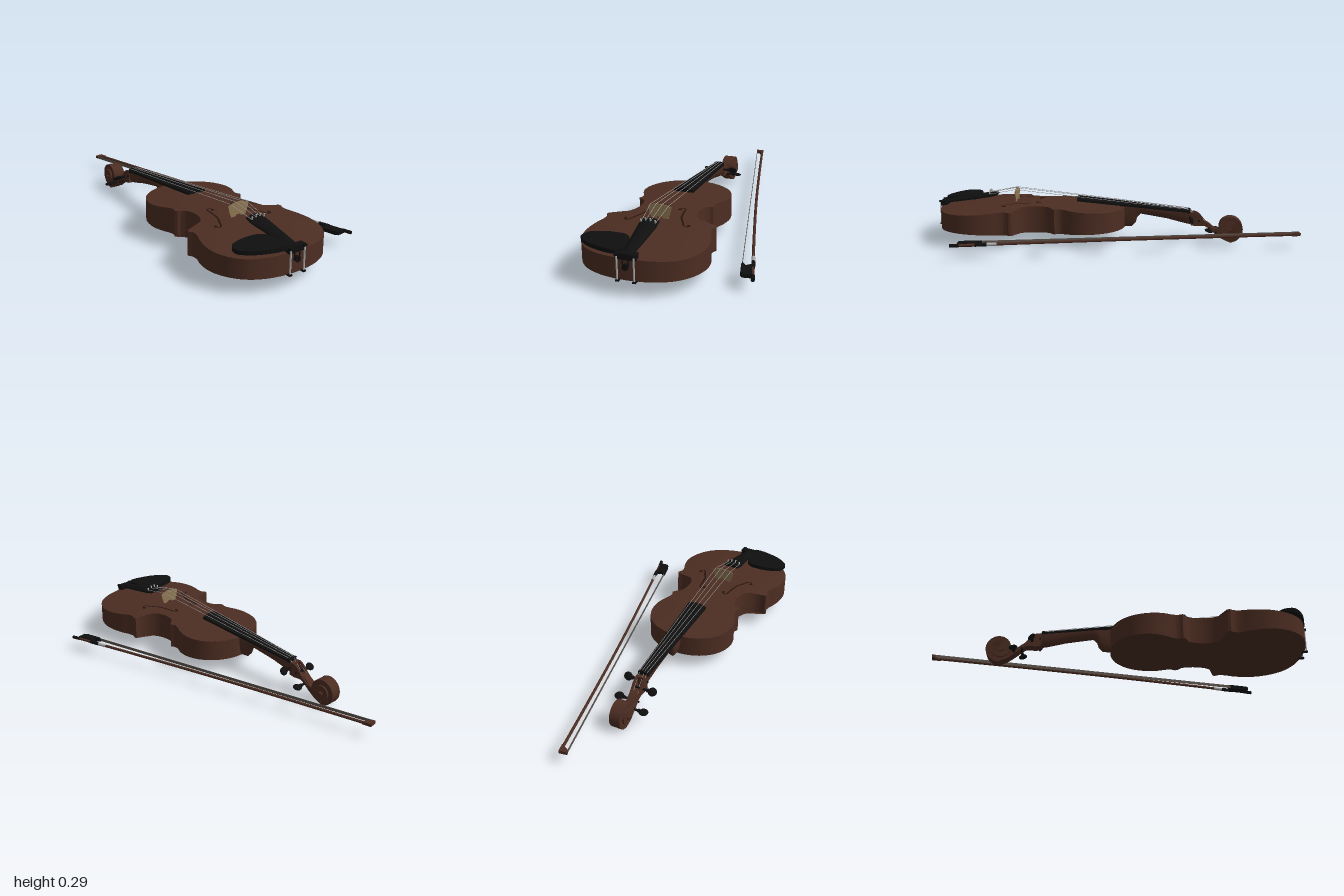
import * as THREE from 'three';
import { toCreasedNormals } from 'three/addons/utils/BufferGeometryUtils.js';

const mat = (name, color, side = THREE.FrontSide) => {
  const m = new THREE.MeshStandardMaterial({ color, side });
  m.name = name;
  return m;
};
const V = (x, y, z) => new THREE.Vector3(x, y, z);

// Skin a list of equal-length closed sections and cap both ends.
function loft(sections, crease = 0.6) {
  const n = sections[0].length, pos = [], idx = [];
  sections.forEach(s => s.forEach(p => pos.push(p.x, p.y, p.z)));
  for (let i = 0; i < sections.length - 1; i++) {
    for (let j = 0; j < n; j++) {
      const a = i * n + j, b = i * n + (j + 1) % n;
      idx.push(a, b, b + n, a, b + n, a + n);
    }
  }
  const last = (sections.length - 1) * n;
  for (let j = 1; j < n - 1; j++) idx.push(0, j + 1, j, last, last + j, last + j + 1);
  const g = new THREE.BufferGeometry();
  g.setAttribute('position', new THREE.Float32BufferAttribute(pos, 3));
  g.setIndex(idx);
  return toCreasedNormals(g, crease);
}

// Flat-bottomed section with an arched top, for parts running along x.
function archSection(x, bottom, edge, crown, half) {
  const s = [V(x, bottom, -half)];
  for (let k = 0; k <= 8; k++) {
    const u = k / 4 - 1;
    s.push(V(x, edge + crown * (1 - u * u), u * half));
  }
  s.push(V(x, bottom, half));
  return s;
}

const curve2 = (pts, n) =>
  new THREE.SplineCurve(pts.map(p => new THREE.Vector2(p[0], p[1]))).getPoints(n);
const poly = pts => new THREE.Shape(pts.map(p => new THREE.Vector2(p[0], p[1])));
const extrude = (pts, depth) =>
  new THREE.ExtrudeGeometry(poly(pts), { depth, bevelEnabled: false });

// Arched plates of the sound box.
const swell = (x, z) => ((x - 0.45) / 0.53) ** 2 + (z / 0.37) ** 2;
const topY = (x, z) => 0.215 - 0.03 * swell(x, z);
const backY = (x, z) => 0.062 + 0.017 * swell(x, z);

export function createModel() {
  const brown = mat('varnishedWood', 0x4c2d22);
  const black = mat('ebony', 0x0f0f10);
  const tan = mat('bridgeWood', 0x8f7854, THREE.DoubleSide);
  const steel = mat('steel', 0xa9aaa8);
  const hairMat = mat('bowHair', 0x5e554d);
  const dark = mat('soundHoleDark', 0x24140e, THREE.DoubleSide);

  const model = new THREE.Group();
  const violin = new THREE.Group();
  violin.name = 'violin';
  violin.position.z = 0.115;
  model.add(violin);

  const add = (name, geo, material, parent = violin) => {
    const m = new THREE.Mesh(geo, material);
    m.name = name;
    parent.add(m);
    return m;
  };
  const rod = (name, a, b, r, material, parent = violin, r2 = r, sides = 10) => {
    const m = add(name, new THREE.CylinderGeometry(r2, r, a.distanceTo(b), sides), material, parent);
    m.position.copy(a).lerp(b, 0.5);
    m.quaternion.setFromUnitVectors(V(0, 1, 0), b.clone().sub(a).normalize());
    return m;
  };

  // Sound box: upper bout, waist and lower bout, mirrored
  const half = [
    ...curve2([[-0.045, 0], [-0.04, 0.06], [-0.015, 0.13], [0.03, 0.187], [0.09, 0.223], [0.16, 0.235],
      [0.22, 0.224], [0.265, 0.203], [0.295, 0.196], [0.32, 0.206]], 32),
    ...curve2([[0.333, 0.197], [0.342, 0.176], [0.38, 0.156], [0.44, 0.153], [0.49, 0.17],
      [0.53, 0.21], [0.543, 0.25], [0.538, 0.28]], 22),
    ...curve2([[0.552, 0.285], [0.575, 0.272], [0.61, 0.276], [0.66, 0.295], [0.73, 0.308], [0.8, 0.301],
      [0.87, 0.27], [0.925, 0.218], [0.96, 0.145], [0.976, 0.07], [0.98, 0]], 36),
  ];
  const outline = [...half, ...half.slice(1, -1).reverse().map(p => new THREE.Vector2(p.x, -p.y))];
  const ring = (s, height) => outline.map(p => {
    const x = 0.45 + (p.x - 0.45) * s, z = p.y * s;
    return V(x, height(x, z), z);
  });
  const steps = [0.02, 0.25, 0.5, 0.75, 1];
  add('body', loft([...steps.map(s => ring(s, backY)),
    ...steps.slice().reverse().map(s => ring(s, topY))]), brown);

  // Sound holes: thin ribbons lying on the top plate
  const holeLine = curve2([[0.435, 0.056], [0.418, 0.066], [0.425, 0.084], [0.47, 0.09], [0.53, 0.1],
    [0.575, 0.122], [0.612, 0.14], [0.618, 0.158], [0.6, 0.165]], 36);
  for (const side of [-1, 1]) {
    const pos = [], idx = [];
    holeLine.forEach((p, i) => {
      const a = holeLine[Math.max(i - 1, 0)], b = holeLine[Math.min(i + 1, 36)];
      const d = b.clone().sub(a).normalize(), w = 0.002 + 0.003 * Math.sin(Math.PI * i / 36);
      for (const e of [-w, w]) {
        const x = p.x - d.y * e, z = (p.y + d.x * e) * side;
        pos.push(x, topY(x, z) + 0.002, z);
      }
      if (i < 36) idx.push(2 * i, 2 * i + 1, 2 * i + 2, 2 * i + 1, 2 * i + 3, 2 * i + 2);
    });
    const g = new THREE.BufferGeometry();
    g.setAttribute('position', new THREE.Float32BufferAttribute(pos, 3));
    g.setIndex(idx);
    g.computeVertexNormals();
    add('soundHole', g, dark);
    for (const [x, z] of [[0.436, 0.059], [0.6, 0.162]]) {
      add('soundHoleEye', new THREE.CylinderGeometry(0.008, 0.008, 0.004, 14), dark)
        .position.set(x, topY(x, z) + 0.0005, z * side);
    }
  }

  // Neck with heel: [x, top, bottom, half width]
  add('neck', loft([[-0.43, 0.163, 0.09, 0.026], [-0.37, 0.168, 0.102, 0.027], [-0.28, 0.176, 0.125, 0.028],
    [-0.135, 0.19, 0.149, 0.031], [-0.115, 0.191, 0.13, 0.031], [-0.105, 0.192, 0.098, 0.03],
    [-0.085, 0.193, 0.078, 0.029], [-0.02, 0.197, 0.072, 0.029]].map(([x, top, bottom, w]) =>
    Array.from({ length: 13 }, (_, k) => {
      const a = Math.PI * k / 12;
      return V(x, top - (top - bottom) * Math.sin(a), w * Math.cos(a));
    })), 0.9), brown);

  // Open pegbox: two cheeks and a floor
  const under = curve2([[-0.63, 0], [-0.585, 0.02], [-0.54, 0.052], [-0.49, 0.09], [-0.44, 0.09], [-0.41, 0.095]], 20)
    .map(p => [p.x, p.y]);
  const over = curve2([[-0.41, 0.165], [-0.435, 0.165], [-0.46, 0.15], [-0.49, 0.115], [-0.525, 0.085],
    [-0.565, 0.072], [-0.6, 0.06]], 20).map(p => [p.x, p.y]);
  for (const z of [-0.028, 0.018]) add('pegboxCheek', extrude([...under, ...over], 0.01), brown).position.z = z;
  add('pegboxFloor', extrude([...under, ...under.slice().reverse().map(([x, y]) => [x - 0.008, y + 0.02])], 0.04),
    brown).position.z = -0.02;

  // Scroll: band winding inward while widening toward its eyes
  add('scroll', loft(Array.from({ length: 73 }, (_, i) => {
    const t = i / 72, a = -Math.PI / 2 - t * Math.PI * 4.5;
    const R = 0.078 - 0.062 * Math.pow(t, 1.1), inner = Math.max(R - 0.034, 0.002);
    const w = 0.027 + 0.023 * t;
    return [[R, -w], [R, w], [inner, w], [inner, -w]].map(([r, z]) =>
      V(-0.625 + r * Math.cos(a), 0.078 + r * Math.sin(a), z));
  })), brown);

  // Tuning pegs
  const pegs = [[-0.55, 0.058, 1], [-0.51, 0.077, -1], [-0.457, 0.12, 1], [-0.415, 0.135, -1]];
  pegs.forEach(([x, y, s], i) => {
    rod('pegShaft', V(x, y, -0.034 * s), V(x, y, 0.065 * s), 0.005, black, violin, 0.007);
    rod('pegCollar', V(x, y, 0.05 * s), V(x, y, 0.06 * s), 0.01, black);
    const head = add('pegHead', new THREE.SphereGeometry(1, 14, 10), black);
    head.position.set(x, y, 0.08 * s);
    head.scale.set(0.023, 0.009, 0.025);
    head.rotation.z = [0.2, 0.3, 0.7, 1.1][i];
  });

  // Fingerboard, nut and tailpiece
  add('fingerboard', loft([archSection(-0.395, 0.164, 0.174, 0.006, 0.029),
    archSection(0.217, 0.222, 0.234, 0.012, 0.053)]), black);
  add('nut', loft([archSection(-0.408, 0.16, 0.179, 0.006, 0.028),
    archSection(-0.394, 0.16, 0.18, 0.006, 0.029)]), black);
  add('tailpiece', loft([archSection(0.675, 0.243, 0.25, 0.01, 0.042), archSection(0.72, 0.234, 0.243, 0.014, 0.045),
    archSection(0.86, 0.211, 0.22, 0.014, 0.034), archSection(0.975, 0.194, 0.202, 0.008, 0.023)]), black);

  // Bridge: thin plate with feet, waist notches and an arched crown
  const bridgeGeo = extrude([[-0.045, 0.208], [-0.02, 0.208], [-0.012, 0.222], [0.012, 0.222], [0.02, 0.208],
    [0.045, 0.208], [0.046, 0.222], [0.054, 0.24], [0.061, 0.272], [0.03, 0.283], [0, 0.286],
    [-0.03, 0.283], [-0.061, 0.272], [-0.054, 0.24], [-0.046, 0.222]], 0.004);
  bridgeGeo.rotateY(Math.PI / 2);
  add('bridge', bridgeGeo, tan).position.x = 0.56;

  // Strings from peg over nut and bridge to the tailpiece, with fine tuners
  pegs.forEach(([px, py], i) => {
    const u = [1, -1, 1 / 3, -1 / 3][i];
    const nut = V(-0.4, 0.187 - 0.005 * u * u, 0.021 * u);
    const crown = V(0.562, 0.288 - 0.007 * u * u, 0.047 * u);
    const tail = V(0.71, 0.26 - 0.009 * u * u, 0.036 * u);
    rod('string', V(px, py + 0.006, 0.013 * u), nut, 0.0013, steel, violin, 0.0013, 6);
    rod('string', nut, crown, 0.0013, steel, violin, 0.0013, 6);
    rod('string', crown, tail, 0.0013, steel, violin, 0.0013, 6);
    rod('fineTuner', tail, tail.clone().add(V(0.004, 0.014, 0)), 0.004, steel);
  });

  // Tail loop and end button
  for (const s of [-1, 1]) {
    rod('tailLoop', V(0.96, 0.198, 0.016 * s), V(0.988, 0.19, 0.016 * s), 0.003, black);
    rod('tailLoop', V(0.988, 0.192, 0.016 * s), V(0.988, 0.15, 0.013 * s), 0.003, black);
  }
  rod('endButton', V(0.965, 0.15, 0), V(0.997, 0.15, 0), 0.013, black, violin, 0.016, 18);

  // Chin rest with its clamp
  const rest = extrude(curve2([[0.8, 0.085], [0.83, 0.045], [0.9, 0.032], [0.968, 0.03], [0.98, 0.085], [0.95, 0.185],
    [0.91, 0.245], [0.875, 0.264], [0.825, 0.24], [0.8, 0.16], [0.8, 0.085]], 44).slice(0, -1)
    .map(p => [p.x, p.y]), 0.02);
  rest.rotateX(Math.PI / 2);
  add('chinRest', toCreasedNormals(rest, 0.6), black).position.y = 0.222;
  add('chinRestFoot', new THREE.BoxGeometry(0.035, 0.03, 0.1), black).position.set(0.972, 0.198, 0);
  for (const s of [-1, 1]) {
    rod('clampPost', V(0.991, 0.085, 0.041 * s), V(0.991, 0.207, 0.041 * s), 0.0045, steel);
    add('clampHook', new THREE.BoxGeometry(0.03, 0.008, 0.016), black).position.set(0.983, 0.08, 0.041 * s);
    add('clampTop', new THREE.BoxGeometry(0.03, 0.01, 0.016), black).position.set(0.984, 0.207, 0.041 * s);
  }

  // Bow lying on its side: local x runs from tip to end, hair on +z
  const bow = new THREE.Group();
  bow.name = 'bow';
  bow.position.set(-0.995, 0.075, 0.002);
  bow.rotation.y = 0.229;
  model.add(bow);
  const stick = new THREE.CatmullRomCurve3([V(0, 0, 0), V(0.45, 0, 0.008), V(0.92, 0, 0.012),
    V(1.4, 0, 0.008), V(1.84, 0, 0)]);
  add('bowStick', new THREE.TubeGeometry(stick, 40, 0.0075, 8), brown, bow);
  const lying = (name, pts, h, material) => {
    const g = extrude(pts, h);
    g.rotateX(Math.PI / 2);
    add(name, g, material, bow).position.y = h / 2;
  };
  lying('bowHead', [[-0.003, -0.007], [0.045, -0.006], [0.03, 0.012], [0.012, 0.034], [-0.006, 0.036]], 0.016, brown);
  lying('bowFrog', [[1.7, 0.006], [1.81, 0.004], [1.805, 0.05], [1.79, 0.058], [1.7, 0.058], [1.685, 0.05],
    [1.715, 0.035]], 0.02, black);
  rod('bowWinding', V(1.61, 0, 0.0035), V(1.66, 0, 0.0025), 0.0088, steel, bow);
  rod('bowGrip', V(1.66, 0, 0.0025), V(1.72, 0, 0.0015), 0.0095, black, bow);
  rod('bowEnd', V(1.8, 0, 0), V(1.847, 0, -0.001), 0.009, black, bow);
  const hair = add('bowHair', new THREE.BoxGeometry(1.69, 0.016, 0.002), hairMat, bow);
  hair.position.set(0.855, 0, 0.043);
  hair.rotation.y = -0.0125;

  return model;
}
